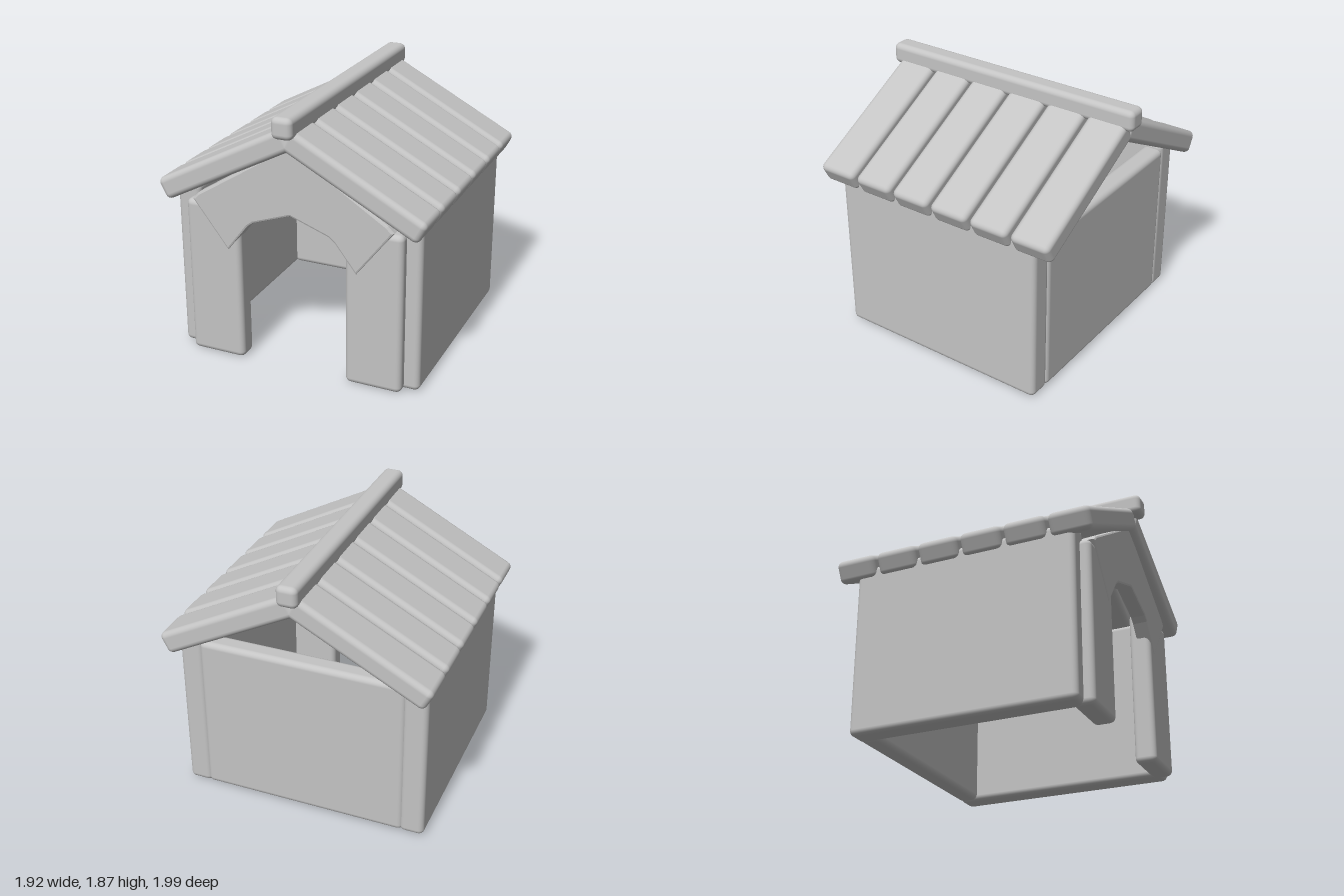
import * as THREE from 'three';
import { RoundedBoxGeometry } from 'three/addons/geometries/RoundedBoxGeometry.js';

export function createModel() {
  const model = new THREE.Group();
  model.name = 'kennel';
  const grey = new THREE.MeshStandardMaterial({ color: 0xc4c4c4 });
  grey.name = 'plainGrey';

  // Rounded block given by its extents on each axis
  function block(name, [x0, x1], [y0, y1], [z0, z1], radius = 0.04) {
    const geometry = new RoundedBoxGeometry(x1 - x0, y1 - y0, z1 - z0, 3, radius);
    const mesh = new THREE.Mesh(geometry, grey);
    mesh.name = name;
    mesh.position.set((x0 + x1) / 2, (y0 + y1) / 2, (z0 + z1) / 2);
    model.add(mesh);
    return mesh;
  }

  // Side walls and front posts, mirrored about x = 0
  for (const [side, s] of [['left', 1], ['right', -1]]) {
    const span = (a, b) => (s > 0 ? [a, b] : [-b, -a]);
    block(side + 'Wall', span(0.72, 0.895), [0.005, 1.235], [-0.805, 0.805]);
    block(side + 'FrontPost', span(0.385, 0.79), [0, 1.15], [0.72, 0.875]);
  }

  // Back wall, leaving the gable above it open
  block('backWall', [-0.745, 0.745], [0.01, 1.2], [-0.81, -0.66]);

  // Roof planks: six on each slope, meeting under the ridge
  const inner = new THREE.Vector2(-0.01, 1.705);
  const outer = new THREE.Vector2(0.937, 1.207);
  const length = inner.distanceTo(outer);
  const slope = Math.atan2(inner.y - outer.y, outer.x - inner.x);
  const plank = new RoundedBoxGeometry(length, 0.16, 0.292, 3, 0.04);
  for (const [side, s] of [['left', 1], ['right', -1]]) {
    for (let i = 0; i < 6; i++) {
      const mesh = new THREE.Mesh(plank, grey);
      mesh.name = side + 'RoofPlank' + (i + 1);
      mesh.position.set(s * (inner.x + outer.x) / 2, (inner.y + outer.y) / 2, -0.799 + i * 0.318);
      mesh.rotation.z = -s * slope;
      model.add(mesh);
    }
  }

  // Ridge beam
  block('ridgeBeam', [-0.075, 0.075], [1.715, 1.865], [-0.995, 0.995]);

  // Front gable board with an arched lower edge and pointed tips
  const half = [[0.28, 1.07], [0.325, 1.035], [0.47, 0.845], [0.715, 1.165], [0.68, 1.2]];
  const points = [
    [0, 1.17],
    ...half,
    [0, 1.63],
    ...half.map(([x, y]) => [-x, y]).reverse(),
  ].map(([x, y]) => new THREE.Vector2(x, y));
  const bevel = 0.015;
  const gable = new THREE.Mesh(
    new THREE.ExtrudeGeometry(new THREE.Shape(points), {
      depth: 0.08, bevelThickness: bevel, bevelSize: bevel, bevelOffset: -0.003, bevelSegments: 2,
    }),
    grey
  );
  gable.name = 'frontGable';
  gable.position.z = 0.79;
  model.add(gable);

  return model;
}
